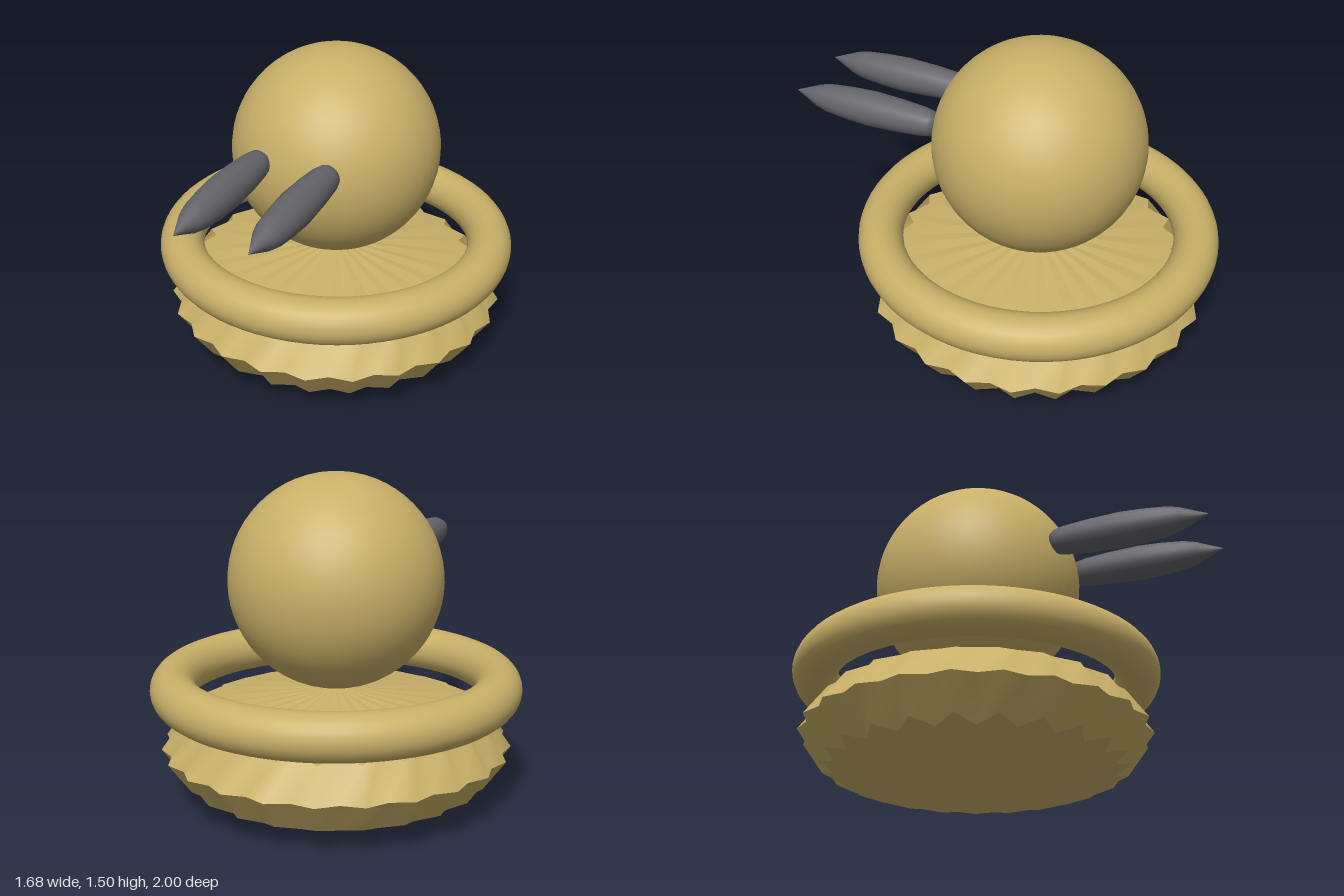
import * as THREE from 'three';

const CENTER_Z = -0.157;
const TEETH = 24;

// Closed ring whose points alternate between a tooth tip and a notch
function starRing(tip, notch) {
  const ring = [];
  for (let i = 0; i < TEETH * 2; i++) {
    const a = (i * Math.PI) / TEETH;
    const [r, y] = i % 2 ? notch : tip;
    ring.push([r * Math.sin(a), y, r * Math.cos(a)]);
  }
  return ring;
}

// Smooth band joining a lower ring to an upper ring
function band(lower, upper) {
  const n = lower.length;
  const index = [];
  for (let i = 0; i < n; i++) {
    const j = (i + 1) % n;
    index.push(i, j, n + j, i, n + j, n + i);
  }
  const geometry = new THREE.BufferGeometry();
  geometry.setAttribute('position', new THREE.Float32BufferAttribute([...lower, ...upper].flat(), 3));
  geometry.setIndex(index);
  geometry.computeVertexNormals();
  return geometry;
}

export function createModel() {
  const gold = new THREE.MeshStandardMaterial({ color: 0xc9b068 });
  gold.name = 'sandy gold';
  const grey = new THREE.MeshStandardMaterial({ color: 0x64646a });
  grey.name = 'dark grey';

  const model = new THREE.Group();
  model.name = 'model';
  const add = (parent, name, geometry, material, x = 0, y = 0, z = 0) => {
    const mesh = new THREE.Mesh(geometry, material);
    mesh.name = name;
    mesh.position.set(x, y, z);
    parent.add(mesh);
    return mesh;
  };

  // Toothed base: shallow cones above and below two sloping bands
  const base = new THREE.Group();
  base.name = 'base';
  base.position.z = CENTER_Z;
  model.add(base);
  const rings = [
    starRing([0.001, 0], [0.001, 0]),
    starRing([0.7, 0.12], [0.63, 0.092]),
    starRing([0.8, 0.26], [0.765, 0.26]),
    starRing([0.7, 0.4], [0.63, 0.428]),
    starRing([0.001, 0.52], [0.001, 0.52]),
  ];
  ['baseUnderside', 'baseLowerBand', 'baseUpperBand', 'baseTop'].forEach((name, i) =>
    add(base, name, band(rings[i], rings[i + 1]), gold));

  // Collar ring floating above the base
  const collar = new THREE.TorusGeometry(0.738, 0.104, 24, 72).rotateX(Math.PI / 2);
  add(model, 'collar', collar, gold, 0, 0.54, CENTER_Z);

  // Head
  add(model, 'head', new THREE.SphereGeometry(0.484, 48, 32), gold, 0, 1.016, CENTER_Z);

  // Pair of pointed eye stalks facing forward
  const profile = [
    [0, 0.265], [0.04, 0.272], [0.058, 0.295], [0.067, 0.34], [0.076, 0.45],
    [0.082, 0.6], [0.077, 0.71], [0.066, 0.82], [0.052, 0.875], [0, 1],
  ].map(([r, y]) => new THREE.Vector2(r, y));
  const stalk = new THREE.LatheGeometry(profile, 16).rotateX(Math.PI / 2);
  add(model, 'leftEyeStalk', stalk, grey, 0.165, 1.1, 0);
  add(model, 'rightEyeStalk', stalk, grey, -0.165, 1.1, 0);

  return model;
}
